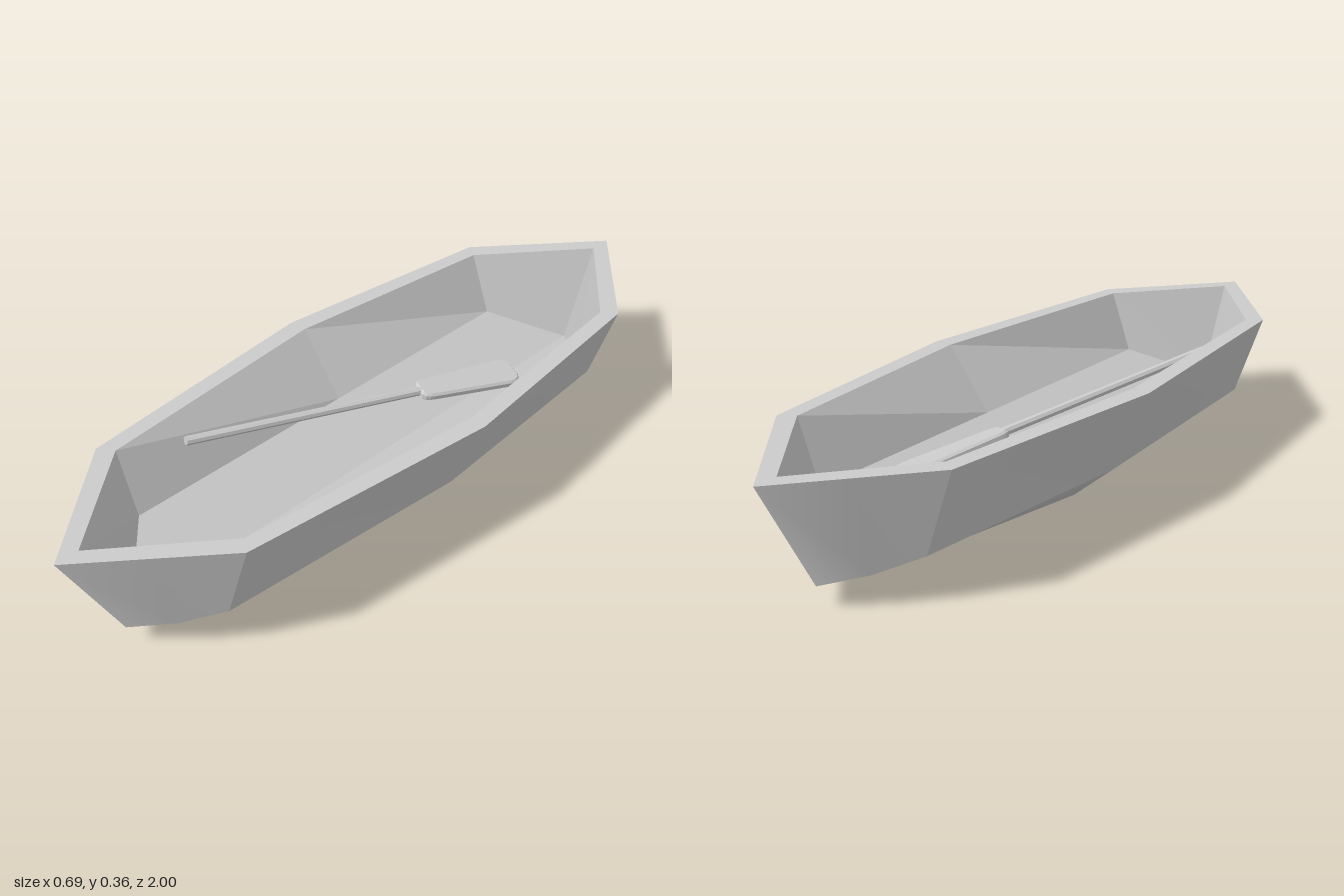
import * as THREE from 'three';

const smooth = new THREE.MeshStandardMaterial({ color: 0xcccccc });
const flat = new THREE.MeshStandardMaterial({ color: 0xcccccc, flatShading: true });

// Surface through rows of [x, y, z], listed top to bottom, left to right as seen from its front
function surface(name, rows, material) {
  const n = rows[0].length, index = [];
  for (let r = 0; r < rows.length - 1; r++) {
    for (let i = 0; i < n - 1; i++) {
      const a = r * n + i, c = a + n;
      index.push(a, c, c + 1, a, c + 1, a + 1);
    }
  }
  const g = new THREE.BufferGeometry();
  g.setAttribute('position', new THREE.Float32BufferAttribute(rows.flat(2), 3));
  g.setIndex(index);
  g.computeVertexNormals();
  const mesh = new THREE.Mesh(g, material);
  mesh.name = name;
  return mesh;
}

// Mirror rows on x or z, keeping them facing outward
const mirror = (rows, sx, sz) =>
  rows.map(row => row.map(([x, y, z]) => [x * sx, y, z * sz]).reverse());

// Closed eight-point outline of the boat, starting at the front tip
const outline = (tip, endX, endZ, midX, y, tipY = y) => [
  [0, tipY, tip], [endX, y, endZ], [midX, y, -0.03], [endX, y, -endZ],
  [0, tipY, -tip], [-endX, y, -endZ], [-midX, y, -0.03], [-endX, y, endZ], [0, tipY, tip],
];

function createHull() {
  const hull = new THREE.Group();
  hull.name = 'hull';
  const top = 0.362;

  // Pointed ends
  const endTop = [[-0.27, top, 0.685], [-0.135, top, 0.8425], [0, top, 1], [0.135, top, 0.8425], [0.27, top, 0.685]];
  const endLow = [[-0.19, 0.133, 0.685], [-0.1, 0.093, 0.77], [0, 0.065, 0.845], [0.1, 0.093, 0.77], [0.19, 0.133, 0.685]];
  const end = [endTop, endLow];
  hull.add(surface('bow', end, smooth), surface('stern', mirror(end, 1, -1), smooth));

  // Long sides
  const side = [
    [[0.27, top, 0.685], [0.345, top, -0.03], [0.27, top, -0.685]],
    [[0.19, 0.133, 0.685], [0.243, 0.133, -0.03], [0.19, 0.133, -0.685]],
  ];
  hull.add(surface('leftSide', side, smooth), surface('rightSide', mirror(side, -1, 1), smooth));

  // Rounded bottom
  const mid = [[-0.243, 0.133, -0.03], [-0.125, 0.032, -0.035], [0, 0, -0.04], [0.125, 0.032, -0.035], [0.243, 0.133, -0.03]];
  const backLow = endLow.map(([x, y, z]) => [x, y, -z]);
  hull.add(surface('bottom', [endLow, mid, backLow], smooth));

  // Flat rim, inner walls and V-shaped floor
  const outer = outline(1, 0.27, 0.685, 0.345, top);
  const inner = outline(0.935, 0.23, 0.657, 0.295, top);
  const floor = outline(0.825, 0.168, 0.657, 0.168, 0.195, 0.105);
  hull.add(surface('rim', [inner, outer], flat));
  hull.add(surface('innerWalls', [[...inner].reverse(), [...floor].reverse()], flat));
  hull.add(surface('floor', [[floor[5], floor[4], floor[3]], [floor[7], floor[0], floor[1]]], flat));
  return hull;
}

function createPaddle() {
  const paddle = new THREE.Group();
  paddle.name = 'paddle';
  const grip = new THREE.Vector3(-0.195, 0.31, 0.475);
  const neck = new THREE.Vector3(-0.003, 0.225, -0.18);
  const length = grip.distanceTo(neck);

  // Shaft
  const shaft = new THREE.Mesh(new THREE.CylinderGeometry(0.012, 0.012, length + 0.02, 8), flat);
  shaft.name = 'shaft';
  shaft.position.y = -length / 2 + 0.01;

  // Blade, widening to a rounded end
  const s = new THREE.Shape();
  s.moveTo(-0.018, 0);
  s.lineTo(0.018, 0);
  s.quadraticCurveTo(0.03, 0.004, 0.031, 0.03);
  s.lineTo(0.044, 0.27);
  s.quadraticCurveTo(0.044, 0.3, 0.02, 0.303);
  s.lineTo(-0.02, 0.303);
  s.quadraticCurveTo(-0.044, 0.3, -0.044, 0.27);
  s.lineTo(-0.031, 0.03);
  s.quadraticCurveTo(-0.03, 0.004, -0.018, 0);
  const bladeGeometry = new THREE.ExtrudeGeometry(s, {
    depth: 0.012, bevelThickness: 0.006, bevelSize: 0.006, bevelSegments: 1, curveSegments: 3,
  });
  bladeGeometry.translate(0, 0, -0.006);
  const blade = new THREE.Mesh(bladeGeometry, flat);
  blade.name = 'blade';
  paddle.add(shaft, blade);

  // Lay it in the boat, grip leaning on the right side, blade slightly rolled
  const along = neck.clone().sub(grip).normalize();
  const across = along.clone().cross(new THREE.Vector3(0.2, 1, 0)).normalize();
  const face = across.clone().cross(along);
  paddle.quaternion.setFromRotationMatrix(new THREE.Matrix4().makeBasis(across, along, face));
  paddle.position.copy(neck);
  return paddle;
}

export function createModel() {
  const model = new THREE.Group();
  model.name = 'rowboat';
  model.add(createHull(), createPaddle());
  return model;
}
